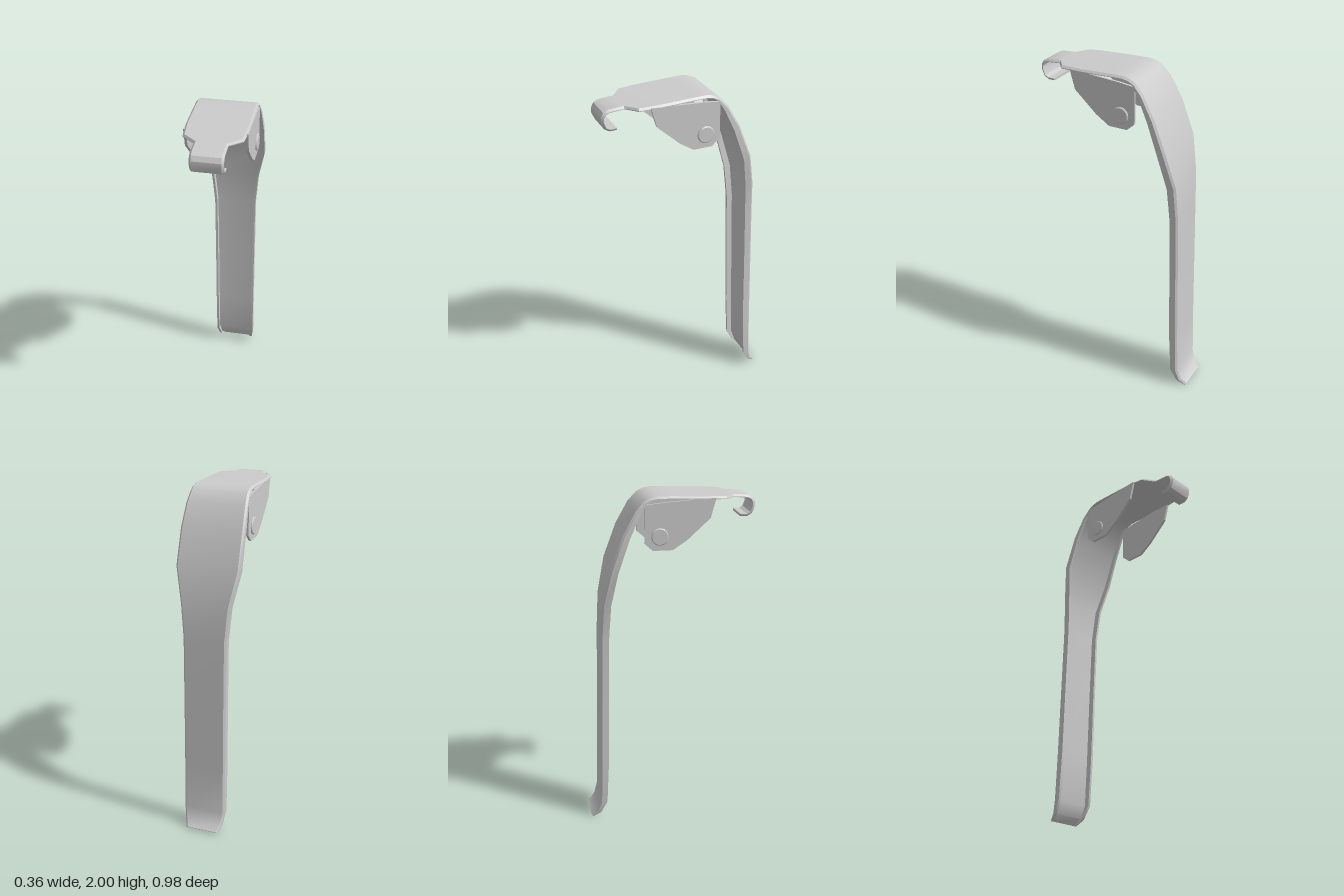
import * as THREE from 'three';
import { toCreasedNormals } from 'three/addons/utils/BufferGeometryUtils.js';

const material = new THREE.MeshStandardMaterial({ color: 0xcccccc });
const T = 0.014; // sheet thickness

// Stations along the outer face, hook tip to tail: z, y, half width, flange depth
const stations = [
  [0.41, 1.859, 0.088, T], [0.45, 1.859, 0.088, T], [0.477, 1.875, 0.088, T],
  [0.492, 1.91, 0.088, T], [0.492, 1.94, 0.088, T], [0.478, 1.965, 0.088, T],
  [0.45, 1.979, 0.088, T], [0.365, 1.985, 0.088, T], [0.312, 1.988, 0.157, T],
  [0.2, 1.992, 0.168, T], [0.0, 1.999, 0.168, T], [-0.07, 2.0, 0.168, T],
  [-0.11, 1.992, 0.168, T], [-0.145, 1.975, 0.168, 0.018], [-0.195, 1.92, 0.174, 0.03],
  [-0.265, 1.795, 0.181, 0.04], [-0.34, 1.6, 0.182, 0.046], [-0.385, 1.4, 0.142, 0.05],
  [-0.398, 1.2, 0.126, 0.048], [-0.41, 0.8, 0.125, 0.048], [-0.421, 0.4, 0.125, 0.049],
  [-0.432, 0.12, 0.125, 0.043], [-0.453, 0.05, 0.114, 0.026], [-0.488, 0.015, 0.098, T],
];

// Channel section as [x, distance below the outer face]; flat where depth equals T
function channelSection(w, depth) {
  const c = 0.011, d = depth + 0.001;
  const right = [[w - c, 0], [w, c], [w, d]];
  const inner = [[w - T, d], [w - T, T + 0.0005], [w - T - 0.004, T]];
  const flip = (list) => list.map(([x, s]) => [-x, s]).reverse();
  return [...flip(right), ...right, ...inner, ...flip(inner)];
}

function createStrip() {
  const positions = [], index = [], n = 12;
  stations.forEach(([z, y, w, depth], i) => {
    const a = stations[Math.max(i - 1, 0)];
    const b = stations[Math.min(i + 1, stations.length - 1)];
    const len = Math.hypot(b[0] - a[0], b[1] - a[1]);
    const nz = (b[1] - a[1]) / len, ny = -(b[0] - a[0]) / len;
    for (const [x, s] of channelSection(w, depth)) positions.push(x, y - ny * s, z - nz * s);
  });
  const quad = (a, b, c, d) => index.push(a, b, c, a, c, d);
  for (let i = 0; i < stations.length - 1; i++) {
    for (let j = 0; j < n; j++) {
      const k = (j + 1) % n;
      quad(i * n + j, i * n + k, (i + 1) * n + k, (i + 1) * n + j);
    }
  }
  // End caps join the outer and inner halves of the section
  const last = (stations.length - 1) * n;
  for (let k = 0; k < 5; k++) {
    quad(11 - k, 10 - k, k + 1, k);
    quad(last + k, last + k + 1, last + 10 - k, last + 11 - k);
  }
  const geometry = new THREE.BufferGeometry();
  geometry.setAttribute('position', new THREE.Float32BufferAttribute(positions, 3));
  geometry.setIndex(index);
  return toCreasedNormals(geometry, 0.5);
}

// Ear outline in z, y
const earOutline = [
  [0.25, 1.984], [0.22, 1.875], [0.09, 1.757], [0.01, 1.705], [-0.1, 1.705],
  [-0.145, 1.745], [-0.145, 1.955], [-0.05, 1.966], [0.16, 1.98],
];

export function createModel() {
  const group = new THREE.Group();
  const add = (name, geometry) => {
    const mesh = new THREE.Mesh(geometry, material);
    mesh.name = name;
    group.add(mesh);
    return mesh;
  };

  // Bent sheet: hook, top plate and flanged handle in one piece
  add('leverStrip', createStrip());

  // Side ears hanging from the top plate, each with a round pivot boss
  const shape = new THREE.Shape(earOutline.map(([z, y]) => new THREE.Vector2(-z, y)));
  const earGeometry = new THREE.ExtrudeGeometry(shape, { depth: T, bevelEnabled: false });
  earGeometry.rotateY(Math.PI / 2);
  const bossProfile = [[0, -0.012], [0.048, -0.012], [0.048, 0.005], [0.043, 0.009], [0, 0.009]];
  const bossGeometry = toCreasedNormals(
    new THREE.LatheGeometry(bossProfile.map(([r, h]) => new THREE.Vector2(r, h)), 24), 0.5);

  for (const side of [1, -1]) {
    const label = side > 0 ? 'left' : 'right';
    add(label + 'Ear', earGeometry).position.x = side > 0 ? 0.168 - T : -0.168;
    const boss = add(label + 'PivotBoss', bossGeometry);
    boss.rotation.z = -side * Math.PI / 2;
    boss.position.set(side * 0.168, 1.782, -0.061);
  }
  return group;
}
